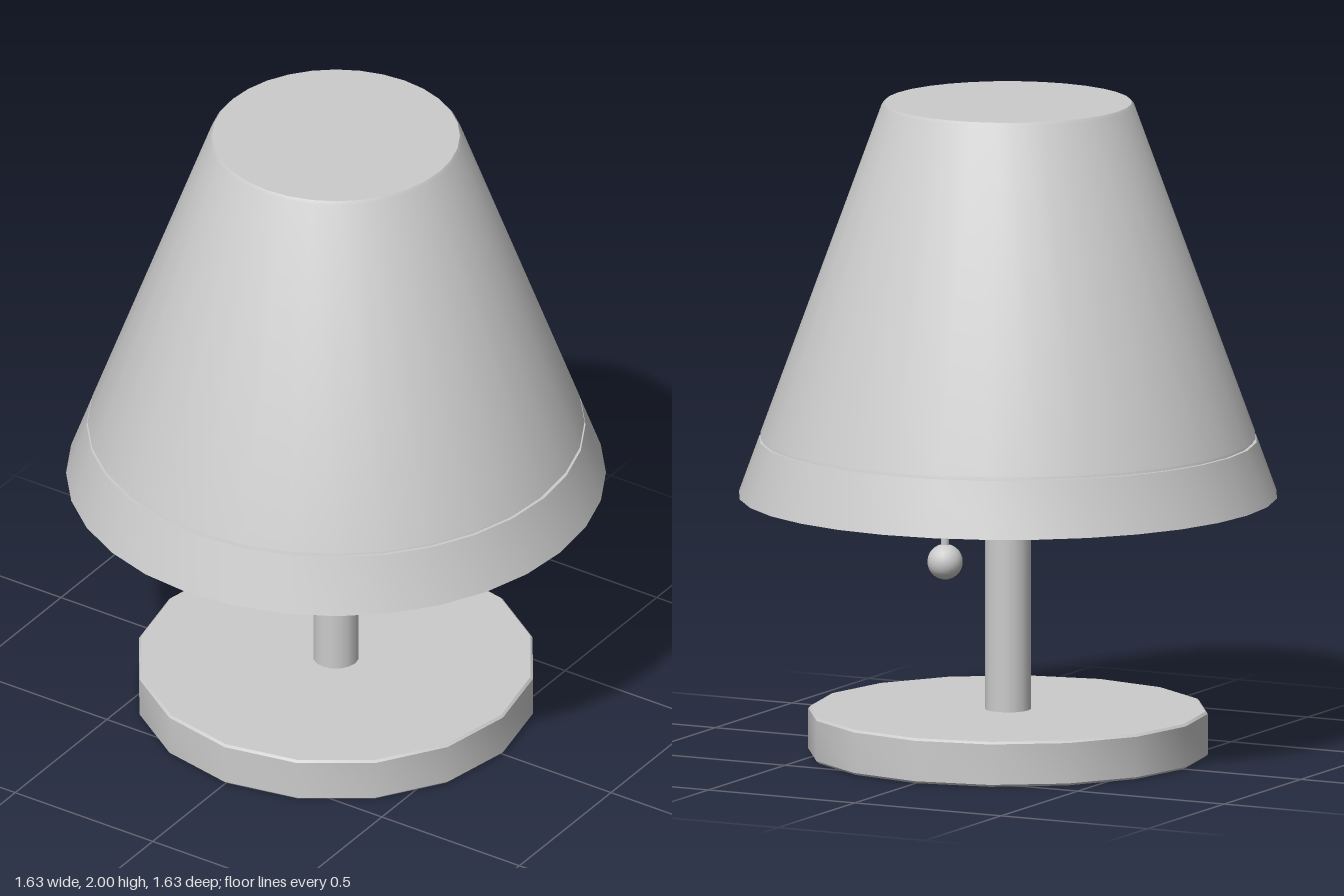
import * as THREE from 'three';
import { toCreasedNormals } from 'three/addons/utils/BufferGeometryUtils.js';

const material = new THREE.MeshStandardMaterial({ color: 0xcccccc });
const shadeMaterial = new THREE.MeshStandardMaterial({ color: 0xcccccc, side: THREE.DoubleSide });

// Revolve a [radius, height] profile, keeping its corners sharp
function turned(name, profile, sides, mat = material) {
  const points = profile.map(([r, y]) => new THREE.Vector2(r, y));
  const geometry = toCreasedNormals(new THREE.LatheGeometry(points, sides), Math.PI / 6);
  const mesh = new THREE.Mesh(geometry, mat);
  mesh.name = name;
  return mesh;
}

// Upright rod between two heights
function rod(name, radius, bottom, top, sides) {
  const mesh = new THREE.Mesh(new THREE.CylinderGeometry(radius, radius, top - bottom, sides), material);
  mesh.position.y = (bottom + top) / 2;
  mesh.name = name;
  return mesh;
}

export function createModel() {
  const lamp = new THREE.Group();
  lamp.name = 'tableLamp';

  // Round foot with a slightly eased edge
  lamp.add(turned('base', [
    [0, 0], [0.6, 0], [0.607, 0.007], [0.607, 0.131], [0.6, 0.138], [0, 0.138],
  ], 16));

  // Stem up to the closed top of the shade
  lamp.add(rod('stem', 0.07, 0.13, 1.975, 16));

  // Hollow tapered shade: closed top, narrow groove above the lower band
  lamp.add(turned('shade', [
    [0, 1.975], [0.372, 1.975], [0.8, 0.795], [0.817, 0.795],
    [0.755, 0.966], [0.745, 0.966], [0.742, 0.976], [0.752, 0.976],
    [0.383, 1.99], [0.375, 2], [0, 2],
  ], 32, shadeMaterial));

  // Pull cord with a ball at its end
  const pull = new THREE.Group();
  pull.name = 'pullCord';
  pull.position.x = 0.215;
  pull.add(rod('cord', 0.013, 0.6, 1.975, 8));
  const ball = new THREE.Mesh(new THREE.SphereGeometry(0.054, 20, 14), material);
  ball.name = 'pullBall';
  ball.position.y = 0.572;
  pull.add(ball);
  lamp.add(pull);

  return lamp;
}
